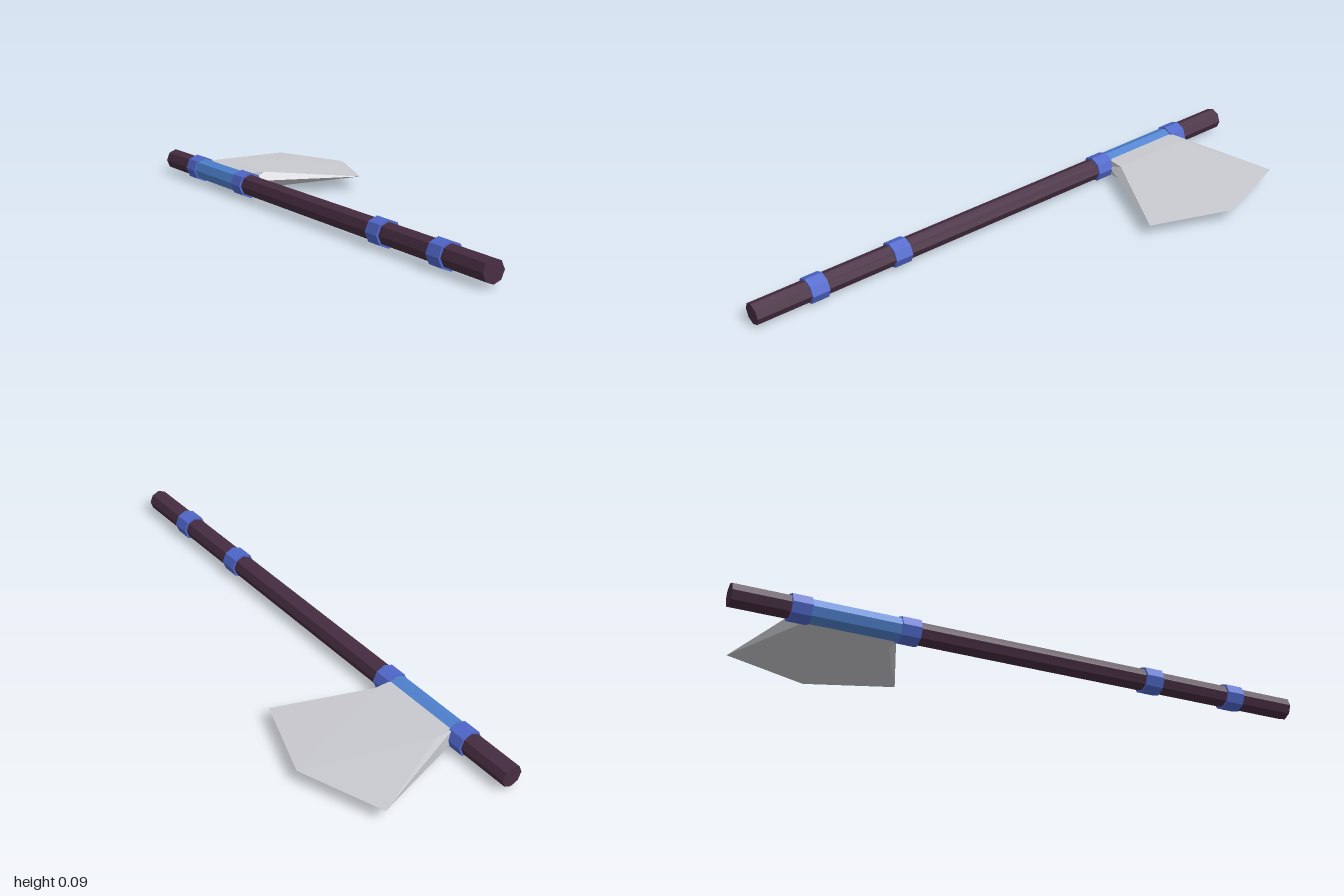
import * as THREE from 'three';

const AXIS_X = -0.236, AXIS_Y = 0.046;

export function createModel() {
  const wood = new THREE.MeshStandardMaterial({ color: 0x472d42, flatShading: true });
  wood.name = 'dark wood';
  const band = new THREE.MeshStandardMaterial({ color: 0x5068cc, flatShading: true });
  band.name = 'band blue';
  const wrap = new THREE.MeshStandardMaterial({ color: 0x4f82d0, flatShading: true });
  wrap.name = 'sleeve blue';
  const steel = new THREE.MeshStandardMaterial({ color: 0xc8c9ce, flatShading: true });
  steel.name = 'steel';

  const model = new THREE.Group();
  model.name = 'axe';

  // Eight-sided rod lying along z
  const rod = (name, radius, length, z, material) => {
    const geometry = new THREE.CylinderGeometry(radius, radius, length, 8).rotateX(Math.PI / 2);
    const mesh = new THREE.Mesh(geometry, material);
    mesh.name = name;
    mesh.position.set(AXIS_X, AXIS_Y, z);
    model.add(mesh);
  };

  rod('handle', 0.0385, 2, 0, wood);
  rod('headSleeve', 0.0405, 0.34, -0.604, wrap);
  [-0.782, -0.425, 0.452, 0.772].forEach((z, i) => rod('collar' + (i + 1), 0.046, 0.064, z, band));

  // Blade quarter: neck, top and side facets, mirrored over its two mid planes
  const P = {
    neckMid: [-0.21, 0.0285, 0],
    neck: [-0.21, 0.0285, 0.151],
    shoulderMid: [-0.146, 0.0285, 0],
    shoulder: [-0.146, 0.0285, 0.151],
    root: [-0.21, 0, 0.151],
    corner: [0.172, 0, 0.293],
    tip: [0.279, 0, 0],
  };
  const top = [
    ['neckMid', 'neck', 'shoulder'], ['neckMid', 'shoulder', 'shoulderMid'],
    ['shoulderMid', 'shoulder', 'tip'], ['shoulder', 'corner', 'tip'],
  ];
  const frontSide = [['root', 'corner', 'shoulder'], ['root', 'shoulder', 'neck']];
  const backSide = [['root', 'corner', 'neck'], ['neck', 'corner', 'shoulder']];
  const positions = [];
  for (const sy of [1, -1]) {
    for (const sz of [1, -1]) {
      for (const face of [...top, ...(sz > 0 ? frontSide : backSide)]) {
        const order = sy * sz > 0 ? face : [...face].reverse();
        for (const key of order) {
          const [x, y, z] = P[key];
          positions.push(x, y * sy, z * sz);
        }
      }
    }
  }
  const bladeGeometry = new THREE.BufferGeometry();
  bladeGeometry.setAttribute('position', new THREE.Float32BufferAttribute(positions, 3));
  bladeGeometry.computeVertexNormals();
  const blade = new THREE.Mesh(bladeGeometry, steel);
  blade.name = 'blade';
  blade.position.set(0, AXIS_Y + 0.001, -0.605);
  model.add(blade);

  return model;
}
